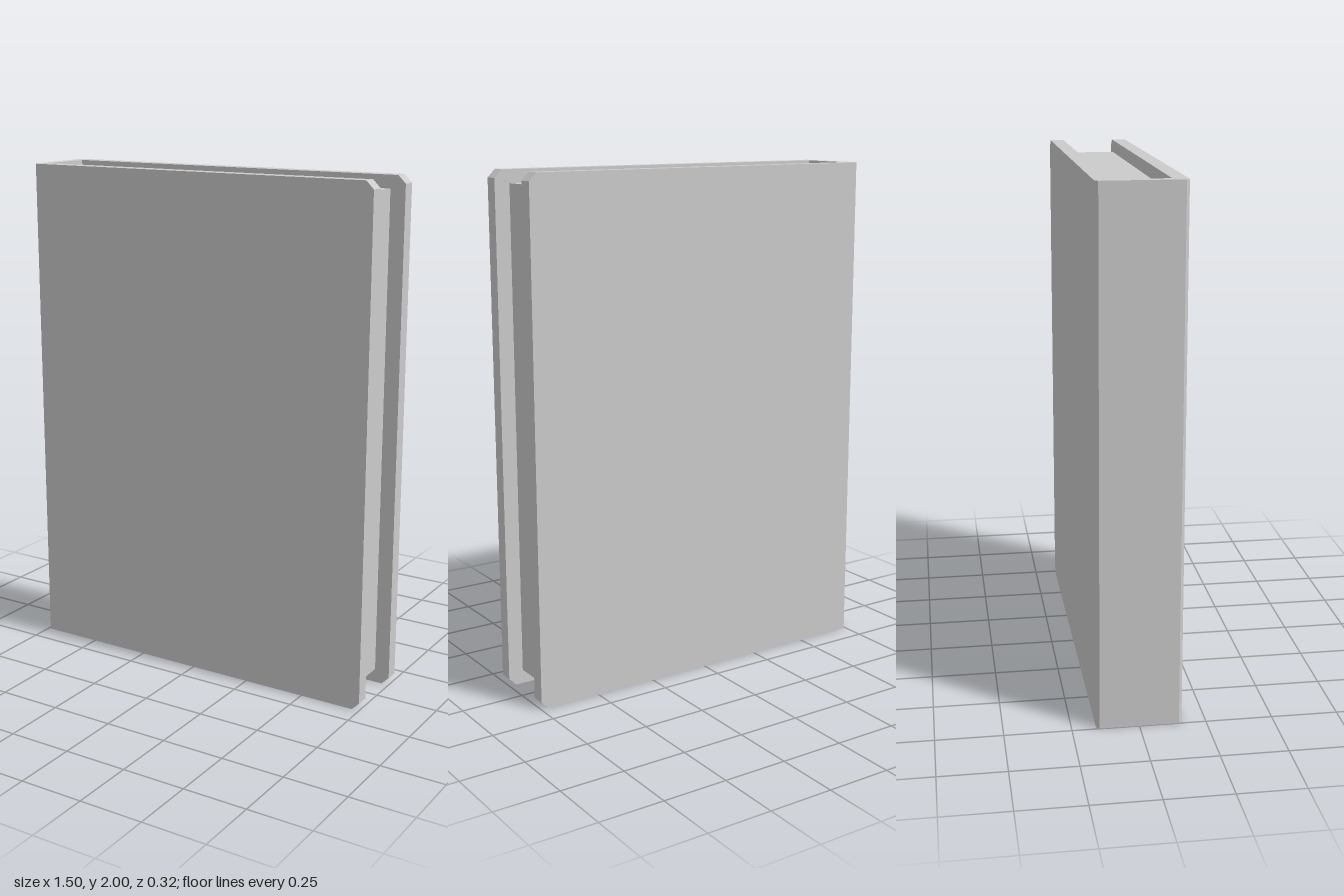
import * as THREE from 'three';

const H = 2, HALF_W = 0.75, HALF_D = 0.16;   // overall size
const INNER = 0.105;                         // inner face of the covers
const SPINE_IN = -0.71;                      // inner face of the spine
const CUT = 0.03, BEVEL = 0.012;             // clipped cover corners, spine bevel

const shapeOf = (points) => new THREE.Shape(points.map(([x, y]) => new THREE.Vector2(x, y)));

export function createModel() {
  const book = new THREE.Group();
  book.name = 'book';
  const material = new THREE.MeshStandardMaterial({ color: 0xcccccc, flatShading: true });

  const add = (name, geometry) => {
    const mesh = new THREE.Mesh(geometry, material);
    mesh.name = name;
    book.add(mesh);
    return mesh;
  };

  // Cover boards, with the two fore-edge corners clipped
  const board = new THREE.ExtrudeGeometry(shapeOf([
    [SPINE_IN, 0], [HALF_W - CUT, 0], [HALF_W, CUT],
    [HALF_W, H - CUT], [HALF_W - CUT, H], [SPINE_IN, H],
  ]), { depth: HALF_D - INNER, bevelEnabled: false });
  add('frontCover', board).position.z = INNER;
  add('backCover', board).position.z = -HALF_D;

  // Spine: a bevelled section swept up the full height
  const spine = new THREE.ExtrudeGeometry(shapeOf([
    [SPINE_IN, -HALF_D], [SPINE_IN, HALF_D], [-HALF_W + BEVEL, HALF_D],
    [-HALF_W, HALF_D - BEVEL], [-HALF_W, -HALF_D + BEVEL], [-HALF_W + BEVEL, -HALF_D],
  ]), { depth: H, bevelEnabled: false });
  spine.rotateX(-Math.PI / 2);
  add('spine', spine);

  // Page block, recessed at the top, bottom and fore edge
  const pageRight = 0.69, pageBottom = 0.055, pageTop = 1.95;
  const pages = new THREE.BoxGeometry(pageRight - SPINE_IN, pageTop - pageBottom, INNER * 2);
  add('pages', pages).position.set((pageRight + SPINE_IN) / 2, (pageTop + pageBottom) / 2, 0);

  return book;
}
